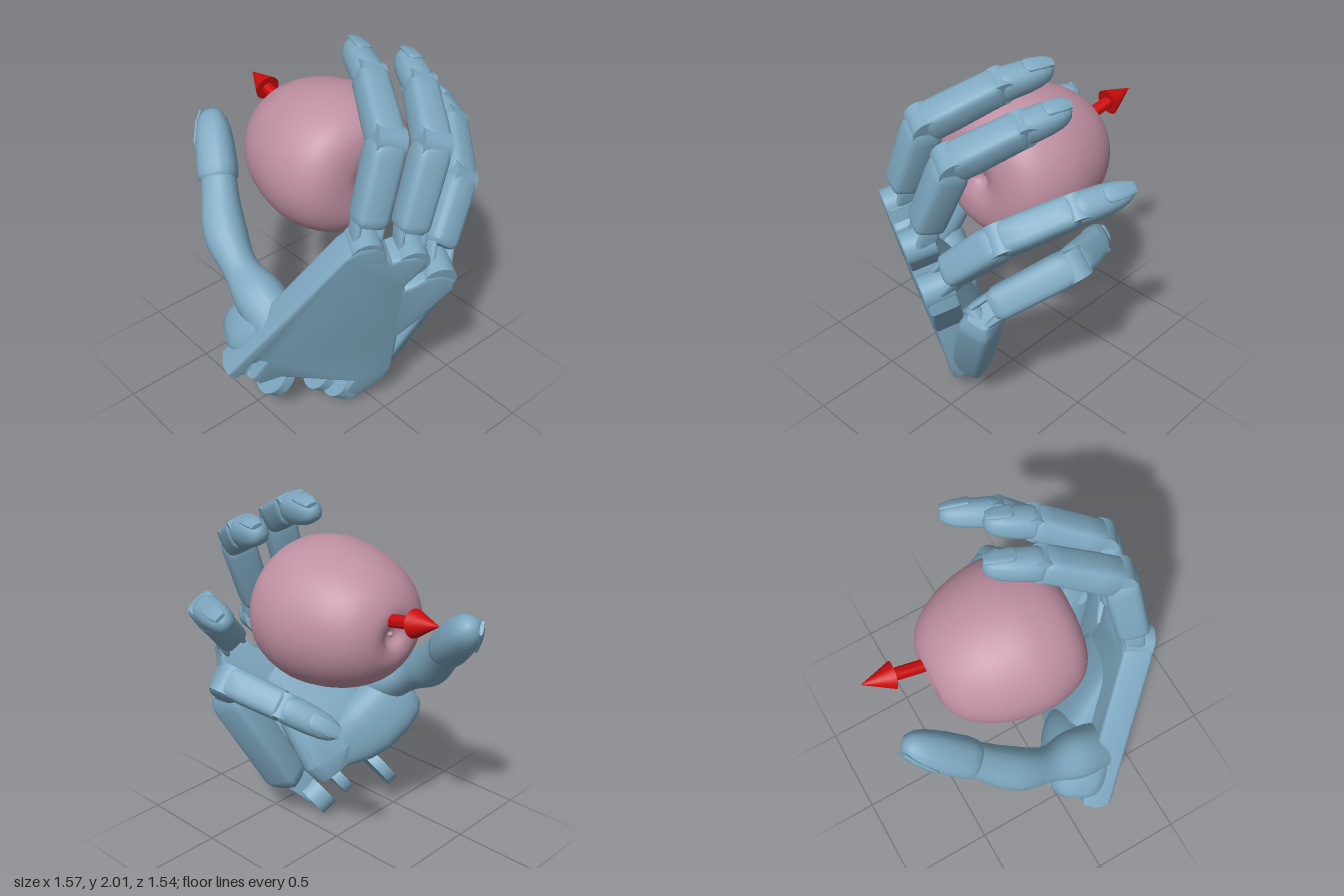
import * as THREE from 'three';
import { toCreasedNormals } from 'three/addons/utils/BufferGeometryUtils.js';

const V = (x, y, z) => new THREE.Vector3(x, y, z);
const mat = (color) => new THREE.MeshStandardMaterial({ color, side: THREE.DoubleSide });
const steel = mat(0x7ea8c0), skin = mat(0xbf90a2), red = mat(0xcc0c0c);

// Frame of the hand's back: across, along, outward
const across = V(0.778, -0.59, 0.232).normalize();
const along = V(0.455, 0.775, 0.445).normalize();
const outward = V(-0.44, -0.24, 0.866).normalize();
const origin = V(-0.25, 0.7, 0.485);
// Point at (x, y) on the back of the hand, sunk inward by depth
function onBack(x, y, depth = 0) {
  return V(x, y, (0.362 + 0.44 * x + 0.24 * y) / 0.866).addScaledVector(outward, -depth);
}

function part(name, geometry, material = steel) {
  const m = new THREE.Mesh(geometry, material);
  m.name = name;
  return m;
}

// Loft of superellipse rings; each station is [point, halfWidth, halfDepth]
function loft(stations, side, power = 3.2, sides = 20, crease = 0.6) {
  const pos = [], index = [], n = stations.length;
  const bulge = (c) => Math.sign(c) * Math.pow(Math.abs(c), 2 / power);
  stations.forEach(([p, w, d], i) => {
    const t = stations[Math.min(i + 1, n - 1)][0].clone().sub(stations[Math.max(i - 1, 0)][0]).normalize();
    const W = side.clone().addScaledVector(t, -side.dot(t)).normalize();
    const D = t.clone().cross(W);
    for (let j = 0; j < sides; j++) {
      const a = (j / sides) * Math.PI * 2;
      const q = p.clone().addScaledVector(W, w * bulge(Math.cos(a))).addScaledVector(D, d * bulge(Math.sin(a)));
      pos.push(q.x, q.y, q.z);
    }
  });
  for (let i = 0; i < n - 1; i++) for (let j = 0; j < sides; j++) {
    const k = (j + 1) % sides, a = i * sides + j, b = i * sides + k;
    index.push(a, b, b + sides, a, b + sides, a + sides);
  }
  const first = stations[0][0], last = stations[n - 1][0];
  pos.push(first.x, first.y, first.z, last.x, last.y, last.z);
  for (let j = 0; j < sides; j++) {
    const k = (j + 1) % sides, e = (n - 1) * sides;
    index.push(n * sides, k, j, n * sides + 1, e + j, e + k);
  }
  const g = new THREE.BufferGeometry();
  g.setAttribute('position', new THREE.Float32BufferAttribute(pos, 3));
  g.setIndex(index);
  return toCreasedNormals(g, crease);
}

// Straight limb from a to b; profile rows are [fraction, scale]
function limb(a, b, w, d, side, profile, power) {
  return loft(profile.map(([f, s]) => [a.clone().lerp(b, f), w * s, d * s]), side, power);
}

// Disc or barrel with its axis along a direction
function disc(name, center, axis, radius, length) {
  const m = part(name, toCreasedNormals(new THREE.CylinderGeometry(radius, radius, length, 32), 0.6));
  m.position.copy(center);
  m.quaternion.setFromUnitVectors(V(0, 1, 0), axis);
  return m;
}

const BONE = [[0, 0.75], [0.06, 0.95], [0.12, 0.98], [0.85, 1.02], [0.96, 0.96], [1.04, 0.75]];
const MIDDLE = [[-0.05, 0.72], [0.06, 0.99], [0.3, 1], [0.82, 0.95], [0.95, 0.94], [1, 0.8]];
const TIP = [[-0.03, 0.8], [0.03, 0.96], [0.15, 1], [0.5, 0.95], [0.75, 0.84], [0.9, 0.68], [0.99, 0.48], [1.04, 0.2]];

// Nail plate on the outer face of a fingertip
function nail(a, b, w, d, side) {
  const t = b.clone().sub(a).normalize(), out = t.clone().cross(side).normalize();
  const at = (f, h) => a.clone().lerp(b, f).addScaledVector(out, h * d);
  return part('nail', loft([
    [at(0.48, 0.9), w * 0.35, 0.008], [at(0.54, 0.9), w * 0.55, 0.012],
    [at(0.85, 0.7), w * 0.52, 0.012], [at(1.03, 0.48), w * 0.36, 0.01]], side, 2.6));
}

function finger(name, knuckle, base, knee, dip, tip, w = 0.086) {
  const g = new THREE.Group(), d = w;
  g.name = name;
  const dir = knee.clone().sub(base).normalize();
  const hinge = dir.clone().cross(dip.clone().sub(knee)).normalize();
  const start = base.clone().addScaledVector(dir, 0.05);
  g.add(part('proximalSegment', limb(start, knee, w, d, hinge, BONE, 3.8)));
  g.add(part('middleSegment', limb(knee, dip, w * 0.97, d * 0.95, hinge, MIDDLE, 3.6)));
  g.add(part('fingertip', limb(dip, tip, w * 0.9, d * 0.88, hinge, TIP, 2.5)));
  g.add(nail(dip, tip, w * 0.9, d * 0.88, hinge));
  g.add(disc('kneeHinge', knee, hinge, d * 0.88, w * 1.7));
  g.add(disc('tipHinge', dip, hinge, d * 0.78, w * 1.5));
  // Fork joining the finger to the palm
  for (const s of [-1, 1]) {
    const off = hinge.clone().multiplyScalar(s * w * 0.68);
    g.add(part('forkArm', limb(knuckle.clone().add(off), start.clone().addScaledVector(dir, 0.04).add(off),
      0.018, d * 0.6, hinge, [[0, 0.8], [0.1, 1], [0.9, 1], [1, 0.8]], 3)));
  }
  g.add(disc('knucklePin', knuckle, hinge, 0.045, w * 1.5));
  return g;
}

function palmPlate() {
  // Outline as seen from the front, projected onto the back plane
  const outline = [[-0.77, 0.49], [-0.74, 0.46], [-0.67, 0.6], [-0.6, 0.55], [-0.65, 0.41], [-0.62, 0.37],
    [-0.53, 0.4], [-0.13, 0.22], [-0.16, 0.13], [-0.11, 0.08], [0, 0.2], [0.01, 0.3], [-0.02, 0.58], [0.06, 0.7],
    [0.17, 0.91], [0.16, 0.97], [0.1, 1.01], [0.04, 1.01], [0, 0.97], [-0.06, 0.94], [-0.08, 0.99],
    [-0.01, 1.12], [-0.02, 1.16], [-0.06, 1.19], [-0.11, 1.19], [-0.16, 1.17], [-0.2, 1.2], [-0.22, 1.27],
    [-0.26, 1.3], [-0.32, 1.3], [-0.37, 1.25], [-0.56, 0.88]];
  const shape = new THREE.Shape(outline.map(([x, y]) => {
    const p = onBack(x, y).sub(origin);
    return new THREE.Vector2(p.dot(across), p.dot(along));
  }));
  const g = new THREE.ExtrudeGeometry(shape, { depth: 0.12, bevelSize: 0.018, bevelThickness: 0.02, bevelSegments: 3 });
  g.translate(0, 0, -0.14);
  g.applyMatrix4(new THREE.Matrix4().makeBasis(across, along, outward).setPosition(origin));
  return part('palmPlate', toCreasedNormals(g, 0.6));
}

function thumb() {
  const g = new THREE.Group();
  g.name = 'thumb';
  const p = [V(-0.5, 0.72, 0.2), V(-0.505, 0.8, 0.08), V(-0.495, 0.89, -0.1), V(-0.46, 1.0, -0.26), V(-0.35, 1.19, -0.45), V(-0.195, 1.43, -0.7)];
  const hinge = p[3].clone().sub(p[1]).cross(p[4].clone().sub(p[3])).normalize();
  const r = [0.13, 0.13, 0.092, 0.112, 0.092];
  const path = new THREE.CatmullRomCurve3(p.slice(0, 5)), stations = [];
  for (let i = 0; i <= 16; i++) {
    const f = (i / 16) * 4, k = Math.min(3, Math.floor(f));
    const w = THREE.MathUtils.lerp(r[k], r[k + 1], THREE.MathUtils.smoothstep(f - k, 0, 1));
    stations.push([path.getPoint(i / 16), w, w]);
  }
  g.add(part('thumbShaft', loft(stations, hinge, 2.3)));
  g.add(part('thumbTip', limb(p[4], p[5], 0.108, 0.106, hinge, TIP, 2.4)));
  g.add(nail(p[4], p[5], 0.108, 0.106, hinge));
  // Rounded barrel that mounts the thumb across the palm: offset, half height, half depth
  const barrel = [[-0.27, 0.09, 0.07], [-0.25, 0.14, 0.12], [-0.2, 0.18, 0.15], [-0.1, 0.2, 0.17], [0.06, 0.2, 0.165],
    [0.18, 0.17, 0.135], [0.28, 0.12, 0.09], [0.36, 0.06, 0.04]];
  const center = V(-0.43, 0.57, 0.12);
  g.add(part('thumbMount', loft(barrel.map(([o, h, d]) => [center.clone().addScaledVector(across, o), h, d]), along, 2.7, 32, 0.9)));
  return g;
}

function apple() {
  const g = new THREE.Group();
  g.name = 'apple';
  const profile = [[0, -0.24], [0.03, -0.25], [0.07, -0.28], [0.16, -0.3], [0.28, -0.275], [0.365, -0.19], [0.405, -0.04],
    [0.395, 0.1], [0.35, 0.25], [0.27, 0.375], [0.17, 0.442], [0.09, 0.445], [0.04, 0.41], [0, 0.4]];
  const curve = new THREE.SplineCurve(profile.map(([r, y]) => new THREE.Vector2(r, y)));
  const pts = curve.getPoints(60).map((q) => new THREE.Vector2(Math.max(0, q.x), q.y));
  g.add(part('fruit', new THREE.LatheGeometry(pts, 56), skin));
  const stem = part('stem', new THREE.SphereGeometry(0.015, 12, 8), skin);
  stem.position.y = 0.41;
  g.add(stem);
  g.position.set(0.045, 1.393, 0);
  g.rotation.set(-Math.PI / 2 - 0.03, 0, -0.03);
  g.scale.set(1.01, 1, 0.935);
  return g;
}

function arrow() {
  const g = new THREE.Group();
  g.name = 'arrow';
  const shaft = part('arrowShaft', toCreasedNormals(new THREE.CylinderGeometry(0.032, 0.032, 0.3, 24), 0.6), red);
  shaft.position.y = 0.15;
  const head = part('arrowHead', toCreasedNormals(new THREE.ConeGeometry(0.07, 0.16, 28), 0.6), red);
  head.position.y = 0.35;
  g.add(shaft, head);
  const from = V(0.08, 1.45, -0.34);
  g.position.copy(from);
  g.quaternion.setFromUnitVectors(V(0, 1, 0), V(0.13, 1.54, -0.76).sub(from).normalize());
  return g;
}

export function createModel() {
  const hand = new THREE.Group();
  hand.name = 'handHoldingApple';
  hand.add(palmPlate(), thumb(), apple(), arrow());
  // Thick heel on the inner side of the palm
  hand.add(part('palmHeel', loft([[onBack(-0.36, 0.33, 0.17), 0.25, 0.11], [onBack(-0.33, 0.39, 0.18), 0.27, 0.14],
    [onBack(-0.26, 0.62, 0.15), 0.25, 0.11], [onBack(-0.16, 0.95, 0.1), 0.2, 0.05]], across, 4)));
  // Bone carrying the little finger
  hand.add(part('outerPalmBone', limb(V(0.02, 0.23, 0.34), V(0.3, 0.83, 0.53), 0.092, 0.108, V(0.8, -0.4, -0.3),
    [[0, 0.6], [0.06, 0.9], [0.12, 1], [0.9, 1], [0.98, 0.92], [1.05, 0.65]], 5)));
  // Fingers, from the thumb side outwards
  hand.add(finger('indexFinger', onBack(-0.28, 1.26, 0.09), V(-0.235, 1.33, 0.55), V(-0.08, 1.755, 0.51), V(0.1, 1.9, 0.2), V(0.2, 1.94, -0.04)));
  hand.add(finger('middleFinger', onBack(-0.06, 1.15, 0.09), V(-0.02, 1.23, 0.61), V(0.16, 1.67, 0.57), V(0.34, 1.81, 0.3), V(0.43, 1.86, 0.09)));
  hand.add(finger('ringFinger', onBack(0.1, 0.99, 0.09), V(0.15, 1.07, 0.64), V(0.42, 1.35, 0.52), V(0.63, 1.49, 0.26), V(0.74, 1.525, 0)));
  hand.add(finger('littleFinger', V(0.28, 0.83, 0.55), V(0.31, 0.88, 0.53), V(0.57, 1.11, 0.19), V(0.47, 1.03, -0.09), V(0.32, 0.905, -0.31)));
  // Round knuckle caps: x, y on the back of the hand
  for (const [x, y] of [[-0.28, 1.26], [-0.06, 1.15], [0.1, 0.99]])
    hand.add(disc('knuckleCap', onBack(x, y, 0.08), outward, 0.085, 0.15));
  // Wrist lugs: x, y, depth, radius, thickness
  const lugs = [[-0.73, 0.5, 0.08, 0.075, 0.08], [-0.61, 0.4, 0.08, 0.075, 0.08], [-0.5, 0.22, 0.16, 0.14, 0.06],
    [-0.28, 0.18, 0.13, 0.11, 0.06], [-0.16, 0.09, 0.11, 0.11, 0.1]];
  for (const [x, y, depth, r, t] of lugs) hand.add(disc('wristLug', onBack(x, y, depth), across, r, t));
  return hand;
}
